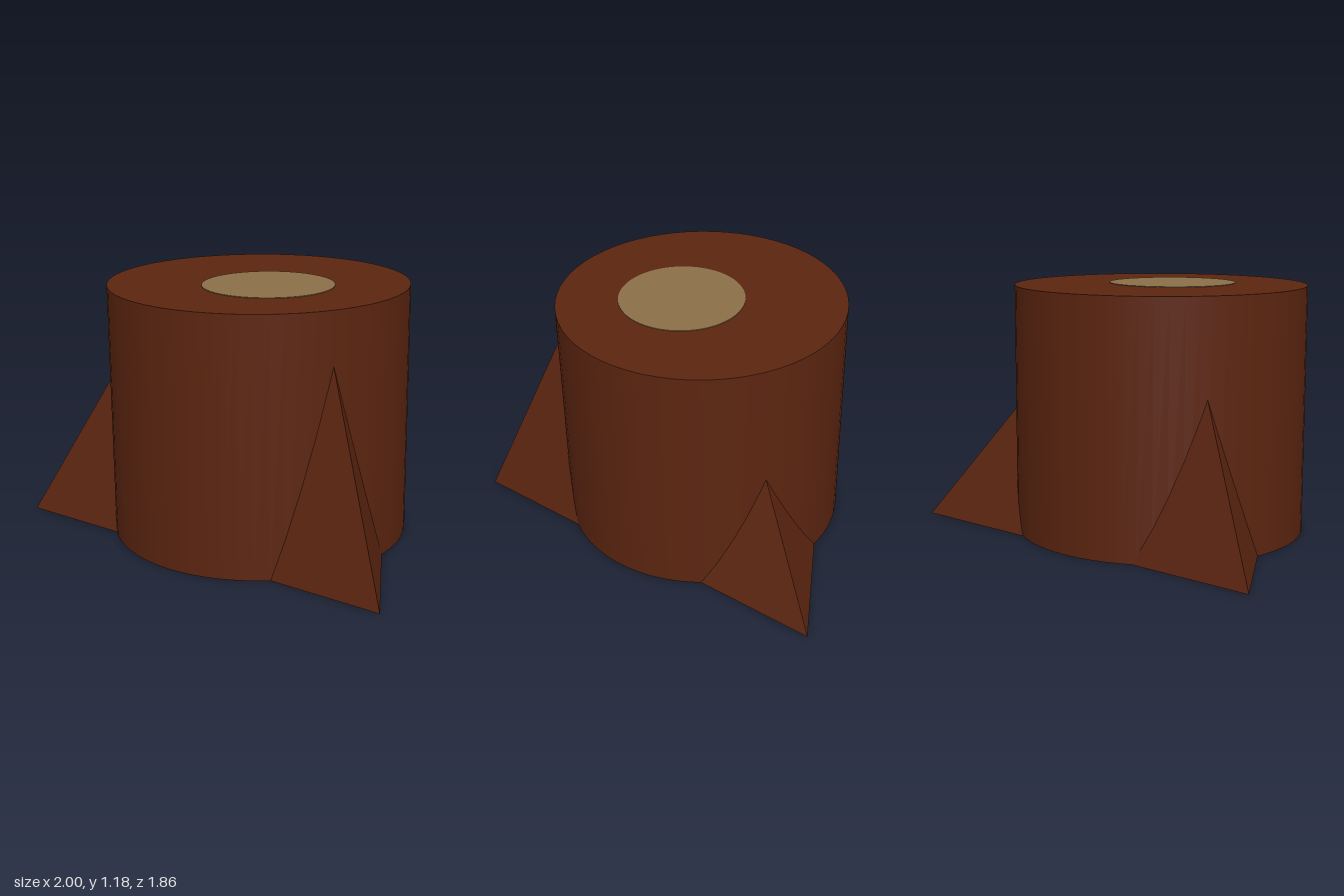
import * as THREE from 'three';

export function createModel() {
  const group = new THREE.Group();
  const bark = new THREE.MeshStandardMaterial({ name: 'bark brown', color: 0x5c2510 });
  const barkFlat = bark; // roots share the bark colour; their normals are split per face
  const heartwood = new THREE.MeshStandardMaterial({ name: 'heartwood tan', color: 0x8b7048 });

  const add = (name, geometry, material, x, y, z) => {
    const mesh = new THREE.Mesh(geometry, material);
    mesh.name = name;
    mesh.position.set(x, y, z);
    group.add(mesh);
    return mesh;
  };

  // Trunk
  const height = 1.18;
  add('trunk', new THREE.CylinderGeometry(0.695, 0.695, height, 64), bark, 0.005, height / 2, 0.235);

  // Off-centre heartwood disc on the cut top
  add('heartwood', new THREE.CylinderGeometry(0.303, 0.303, 0.004, 64), heartwood, 0.09, height + 0.001, 0.28);

  // Roots: three-sided pyramids, each with one corner pointing outwards
  const radius = 0.5;
  const roots = [
    { name: 'backRoot', tip: [-0.015, -0.93], angle: Math.PI, slope: 1.235 },
    { name: 'rightRoot', tip: [-1, 0.75], angle: -Math.PI / 3, slope: 1.68 },
    { name: 'leftRoot', tip: [0.997, 0.77], angle: Math.PI / 3, slope: 2.17 },
  ];
  for (const { name, tip, angle, slope } of roots) {
    const h = radius * slope;
    const geometry = new THREE.ConeGeometry(radius, h, 3).toNonIndexed();
    geometry.computeVertexNormals();
    const x = tip[0] - radius * Math.sin(angle);
    const z = tip[1] - radius * Math.cos(angle);
    add(name, geometry, barkFlat, x, h / 2, z).rotation.y = angle;
  }

  return group;
}
